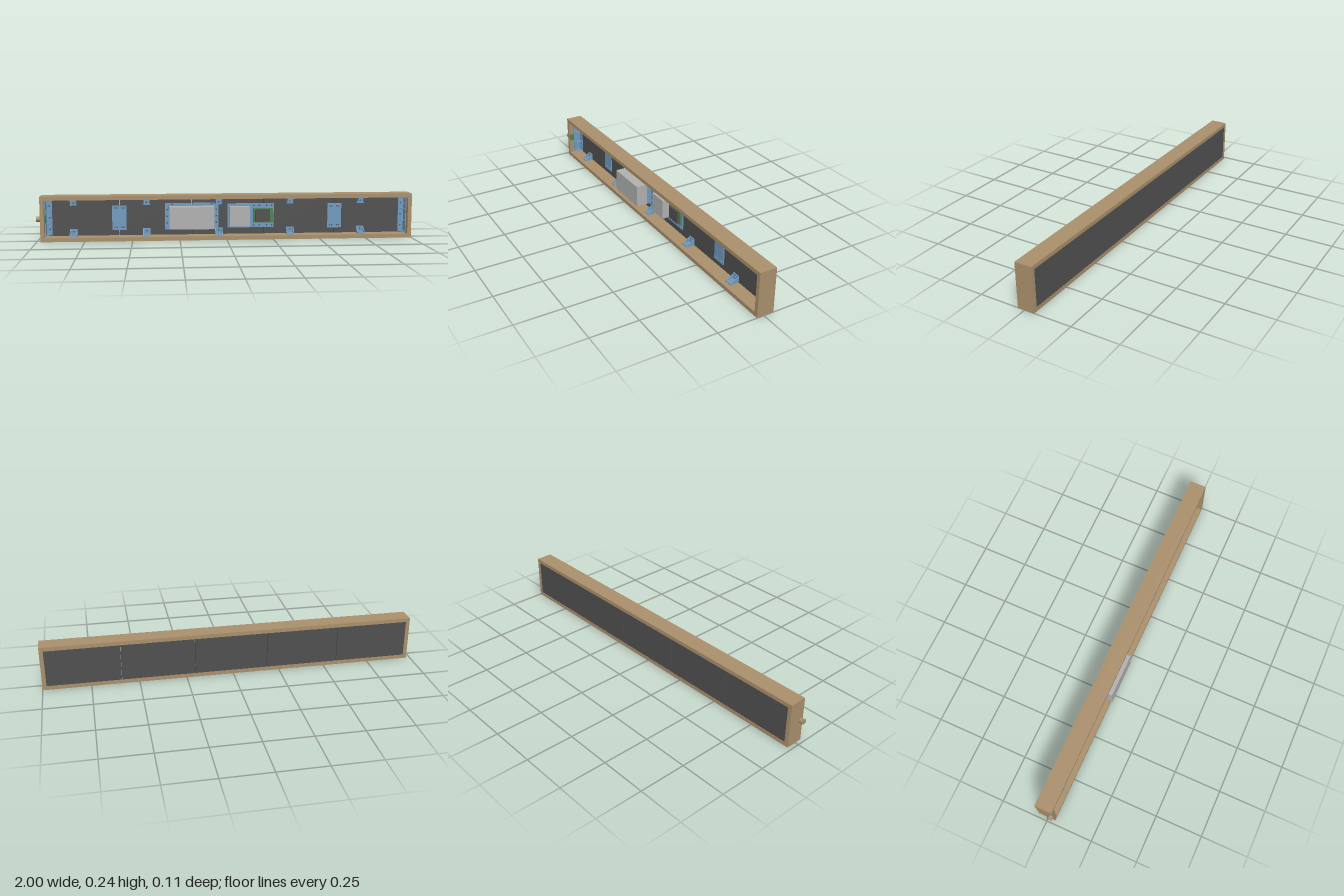
import * as THREE from 'three';

const mat = (name, color, side = THREE.FrontSide) => {
  const m = new THREE.MeshStandardMaterial({ color, side });
  m.name = name;
  return m;
};

export function createModel() {
  const wood = mat('wood', 0xa98f6c);
  const black = mat('panelBlack', 0x505050);
  const blue = mat('bracketBlue', 0x6f9abd);
  const grey = mat('caseGrey', 0xb0b0b0);
  const green = mat('boardGreen', 0x4f8055);
  const root = new THREE.Group();
  root.name = 'displayBar';

  const add = (parent, name, geometry, material) => {
    const m = new THREE.Mesh(geometry, material);
    m.name = name;
    parent.add(m);
    return m;
  };
  // Box given by its limits on each axis
  const box = (parent, name, material, x0, x1, y0, y1, z0, z1) => {
    const m = add(parent, name, new THREE.BoxGeometry(x1 - x0, y1 - y0, z1 - z0), material);
    m.position.set((x0 + x1) / 2, (y0 + y1) / 2, (z0 + z1) / 2);
    return m;
  };
  const rectPoints = (x0, x1, y0, y1) => [[x0, y0], [x1, y0], [x1, y1], [x0, y1]].map(p => new THREE.Vector2(...p));
  // Flat plate in xy with round holes
  const plate = (x0, x1, y0, y1, depth, holes, r = 0.0045) => {
    const s = new THREE.Shape(rectPoints(x0, x1, y0, y1));
    for (const [x, y] of holes) {
      s.holes.push(new THREE.Path().absarc(x, y, r, 0, Math.PI * 2, true));
    }
    return new THREE.ExtrudeGeometry(s, { depth, bevelEnabled: false, curveSegments: 6 });
  };

  const X0 = -0.98, X1 = 1, H = 0.24, BACK = -0.053, FRONT = 0.038, WALL = 0.021;
  const PZ = -0.036; // inner face of the panels

  // Wooden surround
  const outline = new THREE.Shape(rectPoints(X0, X1, 0, H));
  outline.holes.push(new THREE.Path(rectPoints(X0 + WALL, X1 - WALL, WALL, H - WALL).reverse()));
  add(root, 'frame', new THREE.ExtrudeGeometry(outline, { depth: FRONT - BACK, bevelEnabled: false }), wood)
    .position.z = BACK;

  // Five display panels with narrow seams
  const pw = (X1 - X0 - 2 * WALL) / 5, left = X0 + WALL, gap = 0.0012;
  for (let i = 0; i < 5; i++) {
    box(root, 'displayPanel', black, left + i * pw + (i ? gap : 0), left + (i + 1) * pw - (i < 4 ? gap : 0),
      WALL, H - WALL, BACK + 0.001, PZ);
  }

  // Joiner plates over the outer seams
  for (const x of [left + pw, left + 4 * pw]) {
    const holes = [];
    for (const sx of [-1, 1]) for (const sy of [-1, 1]) holes.push([sx * 0.024, sy * 0.052], [sx * 0.013, sy * 0.052]);
    add(root, 'joinerPlate', plate(-0.038, 0.038, -0.066, 0.066, 0.006, holes, 0.004), blue)
      .position.set(x, 0.116, PZ);
  }

  // Angle bracket: foot on y = 0, upright on z = 0, triangular ribs between
  const bracket = (name, width, height, depth, ribs, holes) => {
    const g = new THREE.Group(), t = 0.005, w = width / 2;
    g.name = name;
    add(g, 'upright', plate(-w, w, 0, height, t, holes.map(x => [x, height * 0.62])), blue);
    const foot = add(g, 'foot', plate(-w, w, -depth, 0, t, holes.map(x => [x, -depth * 0.65])), blue);
    foot.rotation.x = -Math.PI / 2;
    const tri = new THREE.Shape([[0, 0], [-depth, 0], [0, height]].map(p => new THREE.Vector2(...p)).reverse());
    for (const x of ribs) {
      const rib = add(g, 'rib', new THREE.ExtrudeGeometry(tri, { depth: 0.004, bevelEnabled: false }), blue);
      rib.rotation.y = Math.PI / 2;
      rib.position.x = x - 0.002;
    }
    root.add(g);
    return g;
  };
  for (let i = 0; i < 5; i++) {
    const x = -0.813 + i * 0.3867;
    bracket('lowerBracket', 0.04, 0.036, 0.048, [-0.018, 0.018], [0]).position.set(x, WALL, PZ);
    const top = bracket('upperBracket', 0.04, 0.036, 0.048, [-0.018, 0.018], [0]);
    top.position.set(x, H - WALL, PZ);
    top.rotation.z = Math.PI;
  }
  for (const s of [-1, 1]) {
    const end = bracket('endBracket', 0.19, 0.034, 0.046, [-0.092, -0.032, 0.032, 0.092], [-0.062, 0, 0.062]);
    end.position.set(s < 0 ? X0 + WALL : X1 - WALL, H / 2, PZ);
    end.rotation.z = s * Math.PI / 2;
  }

  // Power supply on its mounting tray
  const trayHoles = [];
  for (const y of [0.057, 0.185]) for (const x of [-0.29, -0.184, -0.078]) trayHoles.push([x, y]);
  for (const y of [0.085, 0.121, 0.157]) for (const x of [-0.317, -0.053]) trayHoles.push([x, y]);
  add(root, 'powerSupplyPlate', plate(-0.328, -0.04, 0.05, 0.192, 0.006, trayHoles), blue).position.z = PZ;
  box(root, 'powerSupplyTray', blue, -0.308, -0.065, 0.063, 0.177, PZ + 0.006, -0.007);
  box(root, 'powerSupply', grey, -0.305, -0.068, 0.061, 0.179, -0.007, 0.053);

  // Controller plate with relay box and circuit board
  const boardHoles = [];
  for (const y of [0.068, 0.175]) for (const x of [0.15, 0.18, 0.22, 0.248]) boardHoles.push([x, y]);
  add(root, 'controllerPlate', plate(0.008, 0.259, 0.056, 0.187, 0.006, boardHoles), blue).position.z = PZ;
  box(root, 'controllerBox', grey, 0.019, 0.125, 0.067, 0.173, PZ + 0.006, 0.008);
  box(root, 'circuitBoard', green, 0.147, 0.253, 0.083, 0.16, PZ + 0.006, -0.02);
  box(root, 'circuitCover', black, 0.157, 0.237, 0.088, 0.156, -0.02, -0.011);

  // Adjustment knob through the end wall
  const knob = add(root, 'knob', new THREE.CylinderGeometry(0.014, 0.014, 0.022, 20), wood);
  knob.rotation.z = Math.PI / 2;
  knob.position.set(-0.989, 0.121, 0.024);
  box(root, 'knobSensor', green, X0 + WALL, X0 + WALL + 0.008, 0.103, 0.139, 0.013, 0.033);

  return root;
}
